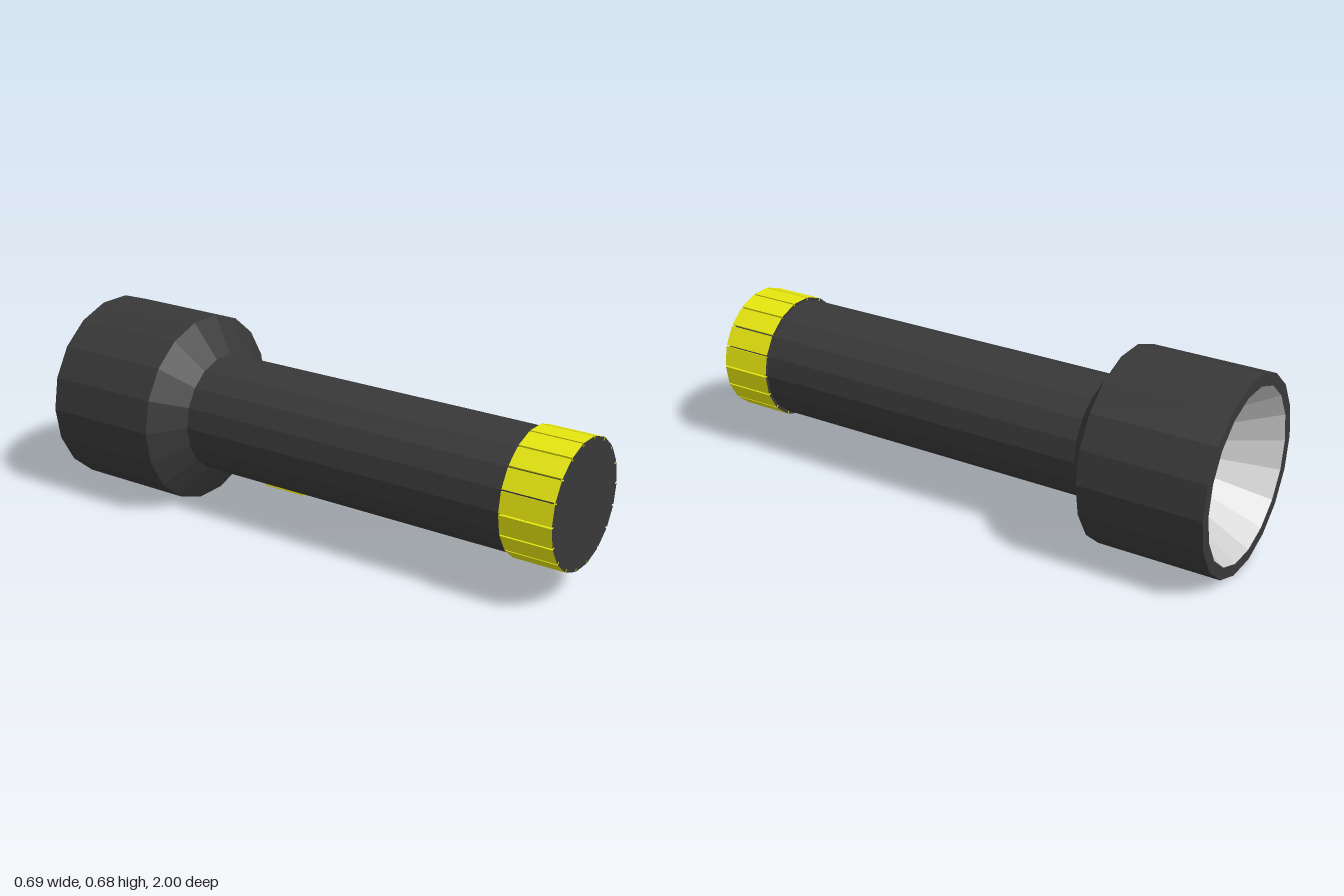
import * as THREE from 'three';

const SIDES = 18;
const AXIS_Y = 0.342;

const material = (color) => new THREE.MeshStandardMaterial({ color, flatShading: true });

// Faceted ring profile [radius, z] turned about the z axis, with corners on +x and -x
function turned(name, points, mat) {
  const profile = points.map(([r, z]) => new THREE.Vector2(r, z));
  const geometry = new THREE.LatheGeometry(profile, SIDES, Math.PI / 2);
  geometry.rotateX(Math.PI / 2);
  const mesh = new THREE.Mesh(geometry, mat);
  mesh.name = name;
  mesh.position.y = AXIS_Y;
  return mesh;
}

// 18-sided outline with a narrow notch cut into every corner
function notchedOutline(radius, floor, halfWidth) {
  const points = [];
  const d = halfWidth / radius;
  for (let i = 0; i < SIDES; i++) {
    const a = (i / SIDES) * Math.PI * 2;
    for (const [r, t] of [[radius, a - d], [floor, a - d], [floor, a + d], [radius, a + d]]) {
      points.push(new THREE.Vector2(r * Math.cos(t), r * Math.sin(t)));
    }
  }
  return new THREE.Shape(points);
}

export function createModel() {
  const group = new THREE.Group();
  group.name = 'flashlight';
  const dark = material(0x383838);
  const yellow = material(0xe6e610);
  const grey = material(0xcccccc);

  // Rim, head, tapered neck and handle
  group.add(turned('body', [
    [0.305, -1], [0.347, -1], [0.347, -0.555], [0.215, -0.475], [0.215, 0.99], [0, 0.99],
  ], dark));

  // Conical reflector with a flat bottom
  group.add(turned('reflector', [[0, -0.69], [0.11, -0.69], [0.305, -1]], grey));

  // Grooved tail cap: dark end faces, yellow grip panels
  const capGeometry = new THREE.ExtrudeGeometry(notchedOutline(0.226, 0.214, 0.003), {
    depth: 0.19, bevelEnabled: false,
  });
  const cap = new THREE.Mesh(capGeometry, [dark, yellow]);
  cap.name = 'tailCap';
  cap.position.set(0, AXIS_Y, 0.81);
  group.add(cap);

  // Switch under the handle
  const button = new THREE.Mesh(new THREE.BoxGeometry(0.073, 0.03, 0.17), yellow);
  button.name = 'switchButton';
  button.position.set(0, 0.126, -0.175);
  group.add(button);

  return group;
}
